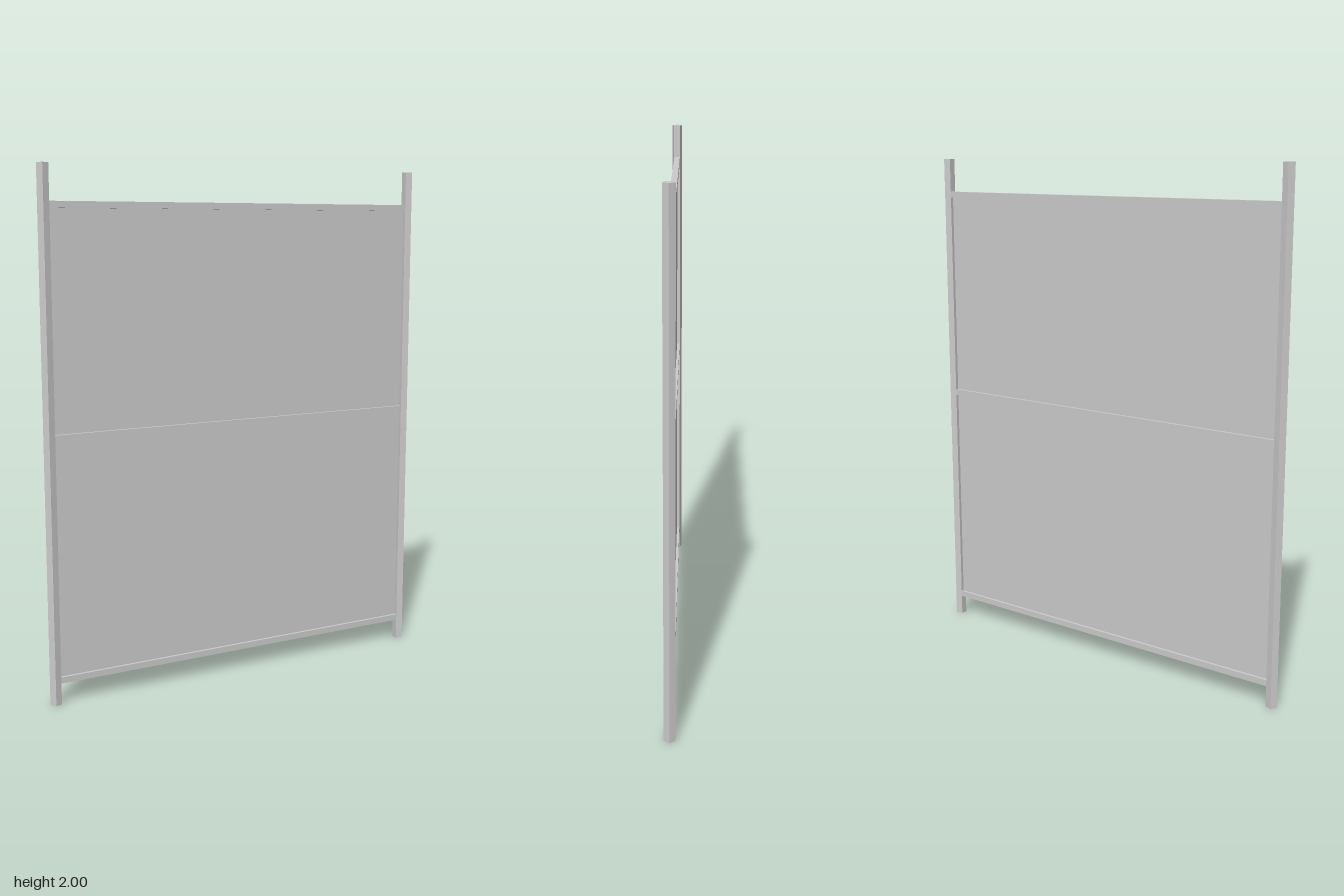
import * as THREE from 'three';

const material = new THREE.MeshStandardMaterial({ color: 0xcccccc, flatShading: true });

export function createModel() {
  const group = new THREE.Group();
  const add = (name, geometry, x, y) => {
    const mesh = new THREE.Mesh(geometry, material);
    mesh.name = name;
    mesh.position.set(x, y, 0);
    group.add(mesh);
  };

  // Five-sided posts: a ridge points outward, a flat side faces the panel
  const radius = 0.0225, postX = 0.793;
  for (const [name, side] of [['leftPost', 1], ['rightPost', -1]]) {
    const post = new THREE.CylinderGeometry(radius, radius, 2, 5, 1, false, side * Math.PI / 2);
    add(name, post, side * postX, 1);
  }

  // Horizontal rails between the inner flats of the posts
  const span = 2 * 0.775, railSize = 0.024;
  const rails = { bottomRail: 0.093, middleRail: 1.016, topRail: 1.855 };
  for (const [name, y] of Object.entries(rails)) {
    add(name, new THREE.BoxGeometry(span, railSize, railSize), 0, y);
  }

  // Thin infill panels between neighbouring rails
  const infill = (name, low, high) =>
    add(name, new THREE.BoxGeometry(span, high - low, 0.002), 0, (low + high) / 2);
  infill('lowerPanel', rails.bottomRail, rails.middleRail);
  infill('upperPanel', rails.middleRail, rails.topRail);

  return group;
}
